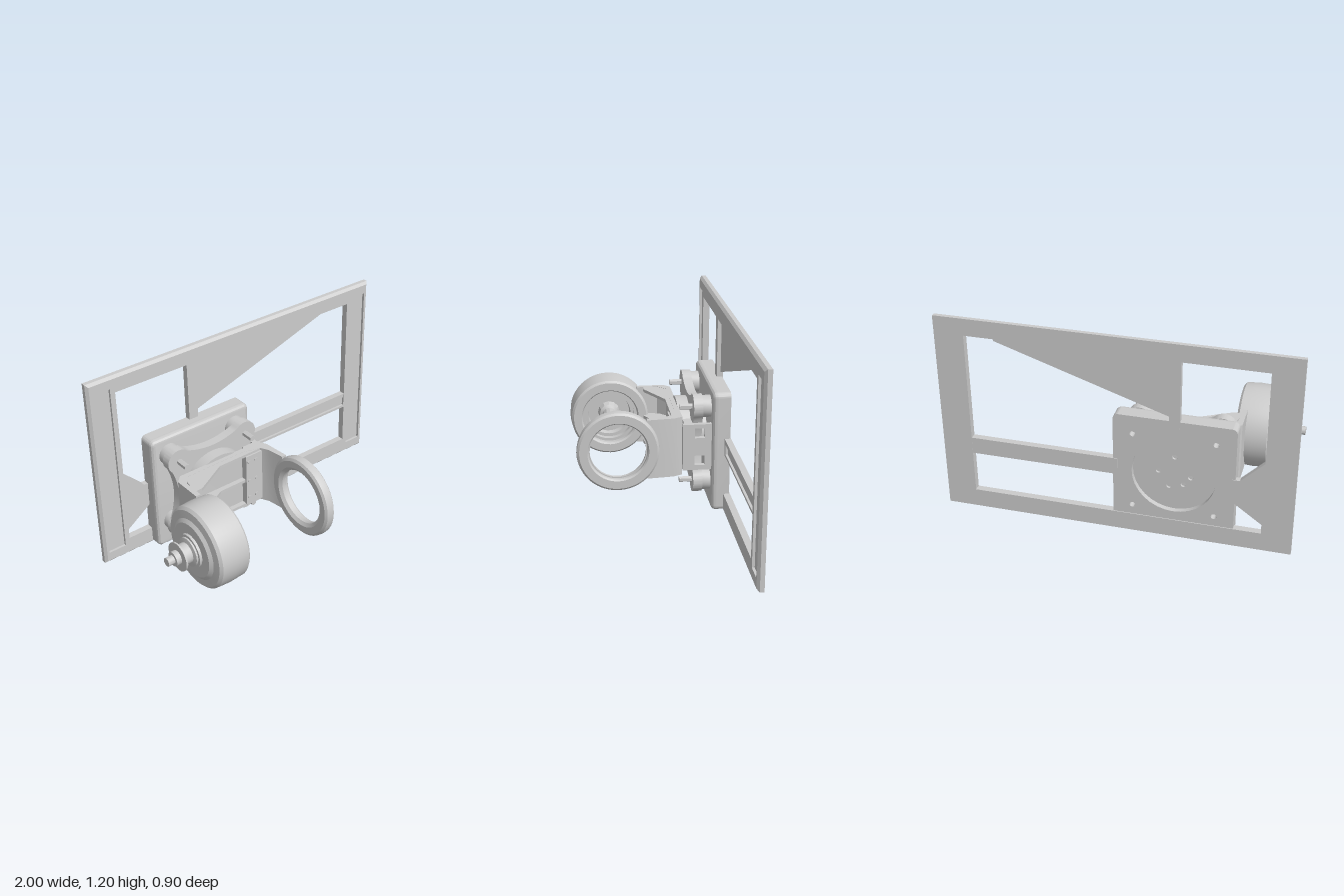
import * as THREE from 'three';
import { toCreasedNormals } from 'three/addons/utils/BufferGeometryUtils.js';

const material = new THREE.MeshStandardMaterial({ color: 0xcccccc });
const CX = -0.335, CY = 0.38, PY = 0.4;   // mounting plate centre, pivot height
const AXLE_Y = 0.4, AXLE_Z = 0.21;

function add(parent, name, geometry) {
  const mesh = new THREE.Mesh(toCreasedNormals(geometry, 0.5), material);
  mesh.name = name;
  parent.add(mesh);
  return mesh;
}

const poly = (pts, Type = THREE.Shape) => new Type(pts.map(p => new THREE.Vector2(...p)));
const rect = (x0, y0, x1, y1, Type = THREE.Shape) => poly([[x0, y0], [x1, y0], [x1, y1], [x0, y1]], Type);
const hole = (x, y, r) => new THREE.Path().absarc(x, y, r, 0, Math.PI * 2, true);

function roundedRect(x0, y0, x1, y1, r) {
  const s = new THREE.Shape();
  s.absarc(x1 - r, y1 - r, r, 0, Math.PI / 2);
  s.absarc(x0 + r, y1 - r, r, Math.PI / 2, Math.PI);
  s.absarc(x0 + r, y0 + r, r, Math.PI, Math.PI * 1.5);
  s.absarc(x1 - r, y0 + r, r, Math.PI * 1.5, Math.PI * 2);
  return s;
}

// Extrude from z0 to z1, optionally with rounded edges kept inside the outline
function slab(shape, z0, z1, bevel = 0, holes = []) {
  shape.holes.push(...holes);
  return new THREE.ExtrudeGeometry(shape, {
    depth: z1 - z0 - 2 * bevel, bevelEnabled: bevel > 0, bevelThickness: bevel,
    bevelSize: bevel, bevelOffset: -bevel, bevelSegments: 3, curveSegments: 16,
  }).translate(0, 0, z0 + bevel);
}

// Extrude an outline given as [x, z] upward from y0 to y1
function prism(pts, y0, y1) {
  return slab(poly(pts.map(([x, z]) => [x, -z])), y0, y1).rotateX(-Math.PI / 2);
}

// Revolve [radius, x] points about the axle
function turned(pts, segments = 48) {
  return new THREE.LatheGeometry(pts.map(p => new THREE.Vector2(...p)), segments)
    .rotateZ(-Math.PI / 2).translate(0, AXLE_Y, AXLE_Z);
}

// Cylinder along z
const peg = (x, y, z0, z1, r, n = 24) =>
  new THREE.CylinderGeometry(r, r, z1 - z0, n).rotateX(Math.PI / 2).translate(x, y, (z0 + z1) / 2);

function buildFrame() {
  const g = new THREE.Group();
  g.name = 'frame';
  const opening = () => rect(-0.83, 0.11, 0.83, 1.1, THREE.Path);
  add(g, 'frameBack', slab(rect(-1, 0, 1, 1.2), -0.45, -0.425, 0, [opening()]));

  // Front layer has a channel in each upright and softened outer edges
  const channels = [-0.915, 0.915].map(x => rect(x - 0.055, 0.07, x + 0.055, 1.13, THREE.Path));
  const front = slab(rect(-1, 0, 1, 1.2), -0.425, -0.41, 0, [opening(), ...channels]);
  const p = front.attributes.position;
  for (let i = 0; i < p.count; i++) {
    if (p.getZ(i) < -0.415) continue;
    if (Math.abs(p.getX(i)) > 0.99) p.setX(i, p.getX(i) * 0.985);
    if (Math.abs(p.getY(i) - 0.6) > 0.59) p.setY(i, 0.6 + (p.getY(i) - 0.6) * 0.975);
  }
  add(g, 'frameFront', front);

  add(g, 'crossBarBack', slab(rect(-0.02, 0.36, 0.84, 0.46), -0.449, -0.425));
  add(g, 'crossBarFront', slab(rect(-0.02, 0.36, 0.835, 0.46), -0.425, -0.411, 0,
    [rect(0.04, 0.375, 0.828, 0.435, THREE.Path)]));
  add(g, 'hangerBar', slab(rect(-0.365, 0.7, -0.305, 1.11), -0.449, -0.412));
  add(g, 'topGusset', slab(poly([[-0.31, 0.768], [0.66, 1.09], [0.66, 1.105], [-0.31, 1.105]]), -0.449, -0.435));
  add(g, 'sideGusset', slab(poly([[-0.84, 0.16], [-0.66, 0.29], [-0.66, 0.43], [-0.7, 0.43], [-0.84, 0.57]]),
    -0.449, -0.415));
  return g;
}

function buildMount() {
  const g = new THREE.Group();
  g.name = 'mount';
  const corners = [[-1, -1], [1, -1], [1, 1], [-1, 1]].map(([a, b]) => [CX + a * 0.23, PY + b * 0.23]);

  // Plate with a round pocket behind
  const outline = () => roundedRect(-0.675, 0.003, 0.005, 0.74, 0.03);
  add(g, 'mountPlateBack', slab(outline(), -0.445, -0.37, 0,
    [hole(CX, PY, 0.235), ...corners.map(([x, y]) => hole(x, y, 0.016))]));
  add(g, 'mountPlateFront', slab(outline(), -0.402, -0.34, 0.025));
  const disc = new THREE.Shape().absarc(CX, PY, 0.235, 0, Math.PI * 2);
  const screws = [[0, 0.1], [0.09, 0], [-0.09, -0.02], [0.03, -0.09], [-0.05, -0.07]];
  add(g, 'pocketFloor', slab(disc, -0.415, -0.4, 0, screws.map(([x, y]) => hole(CX + x, PY + y, 0.015))));

  // Four-lobed flange
  const flange = new THREE.Shape();
  for (let i = 0; i < 4; i++) {
    const a = Math.PI / 4 + i * Math.PI / 2, b = a + Math.PI / 4;
    const x = CX + 0.325 * Math.cos(a), y = PY + 0.325 * Math.sin(a);
    flange.absarc(x, y, 0.075, a - 1.6, a + 1.6);
    const n = a + Math.PI / 2;
    flange.quadraticCurveTo(CX + 0.21 * Math.cos(b), PY + 0.21 * Math.sin(b),
      CX + 0.325 * Math.cos(n) + 0.075 * Math.cos(n - 1.6),
      PY + 0.325 * Math.sin(n) + 0.075 * Math.sin(n - 1.6));
  }
  add(g, 'flange', slab(flange, -0.29, -0.235));
  for (const [x, y] of corners) {
    add(g, 'spacer', peg(x, y, -0.345, -0.285, 0.065));
    add(g, 'bolt', peg(x, y, -0.24, -0.16, 0.018, 6));
  }
  add(g, 'pivotBase', peg(CX, PY, -0.345, -0.285, 0.14, 40));
  add(g, 'pivotHub', peg(CX, PY, -0.24, -0.165, 0.21, 40));
  return g;
}

function buildFork() {
  const g = new THREE.Group();
  g.name = 'fork';
  add(g, 'forkBracket', prism([[-0.65, 0.04], [-0.65, -0.13], [-0.61, -0.17], [-0.06, -0.17], [-0.035, -0.12],
    [-0.02, 0.04], [-0.05, 0.04], [-0.065, -0.06], [-0.09, -0.11], [-0.2, -0.14], [-0.57, -0.14],
    [-0.62, -0.09], [-0.62, 0.04]].reverse(), 0.22, 0.585));
  for (const y of [0.22, 0.39, 0.565]) {
    add(g, 'forkRib', prism([[-0.63, 0], [-0.58, 0], [-0.38, -0.11], [-0.1, -0.11], [-0.1, -0.15], [-0.6, -0.15]],
      y + 0.001, y + 0.019));
  }

  // Pad with screws inside the open arm
  add(g, 'screwPad', prism([[-0.2, -0.1], [-0.07, -0.1], [-0.07, -0.15], [-0.2, -0.15]], 0.235, 0.57));
  for (const x of [-0.18, -0.13]) for (const y of [0.285, 0.4, 0.53])
    add(g, 'screw', peg(x, y, -0.11, -0.094, 0.012, 6));

  // Side plate reaching back to the mount, with two square windows
  const windows = [0.32, 0.49].map(y => rect(0.24, y - 0.03, 0.3, y + 0.03, THREE.Path));
  add(g, 'sideBracket', slab(rect(0.17, 0.26, 0.37, 0.545), -0.055, -0.025, 0, windows).rotateY(Math.PI / 2)
    .translate(0, 0, 0));
  add(g, 'sideBracketFoot', new THREE.BoxGeometry(0.09, 0.285, 0.05).translate(-0.085, 0.4025, -0.205));
  return g;
}

function buildWheels() {
  const g = new THREE.Group();
  g.name = 'wheels';
  // Full wheel: tyre, outer cap and stepped inner dish
  add(g, 'wheel', turned([[0, -0.81], [0.16, -0.81], [0.18, -0.795], [0.225, -0.79], [0.24, -0.775], [0.245, -0.69],
    [0.24, -0.605], [0.228, -0.592], [0.18, -0.592], [0.172, -0.605], [0.172, -0.635], [0.155, -0.635],
    [0.155, -0.67], [0.135, -0.67], [0.13, -0.71], [0, -0.71]]));
  add(g, 'axle', turned([[0, -0.97], [0.025, -0.97], [0.025, -0.93], [0.042, -0.93], [0.042, -0.9], [0.085, -0.9],
    [0.085, -0.89], [0.06, -0.885], [0.06, -0.84], [0.085, -0.835], [0.085, -0.825], [0.1, -0.825], [0.1, -0.8],
    [0, -0.8]], 20));
  add(g, 'innerAxle', turned([[0.07, -0.715], [0.06, -0.67], [0.042, -0.66], [0.042, -0.58], [0.022, -0.58],
    [0.022, -0.6], [0, -0.6]], 12));

  // Open ring on the other arm
  add(g, 'openRing', turned([[0.172, -0.055], [0.185, -0.065], [0.225, -0.065], [0.24, -0.055], [0.243, -0.03],
    [0.24, -0.01], [0.228, 0], [0.18, 0], [0.172, -0.01], [0.172, -0.03], [0.165, -0.03], [0.165, -0.05],
    [0.172, -0.055]]));
  return g;
}

export function createModel() {
  const model = new THREE.Group();
  model.name = 'wheelMount';
  model.add(buildFrame(), buildMount(), buildFork(), buildWheels());
  return model;
}
